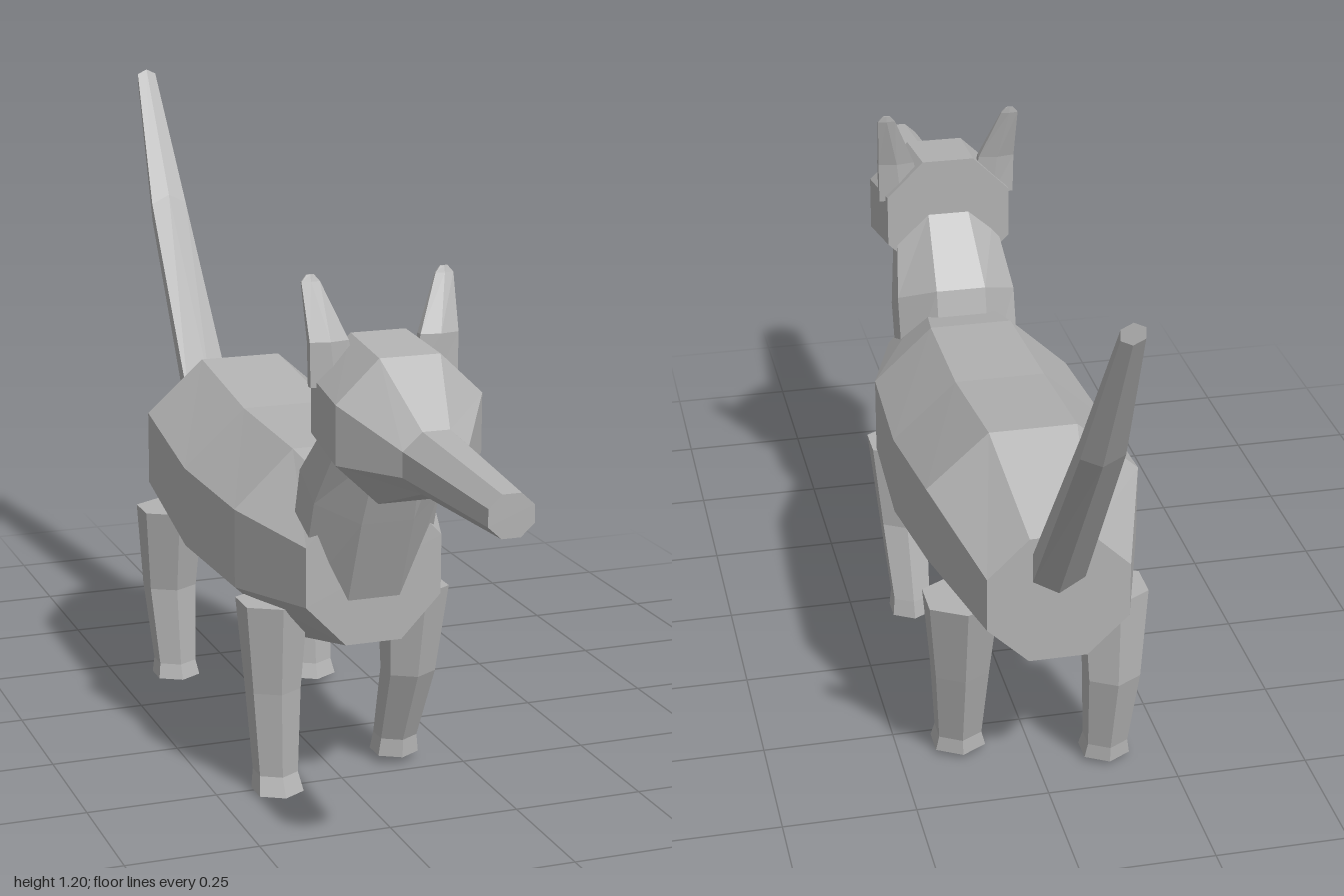
import * as THREE from 'three';

const coat = new THREE.MeshStandardMaterial({ color: 0xb2b2b2, flatShading: true });
coat.name = 'grey coat';

// Capped loft. Each ring: [centre x, half width, z0, y0, z1, y1], where the two
// (z, y) points are opposite edges of the ring. Rings run along x cross (p1 - p0).
function loft(name, sides, rings) {
  const angles = Array.from({ length: sides }, (_, i) => ((2 * i + 1) * Math.PI) / sides);
  const maxC = Math.max(...angles.map((a) => Math.abs(Math.cos(a))));
  const maxS = Math.max(...angles.map((a) => Math.abs(Math.sin(a))));
  const pos = [];
  const tri = (...pts) => pts.forEach((p) => pos.push(p.x, p.y, p.z));
  const centres = rings.map(([x, , z0, y0, z1, y1]) => new THREE.Vector3(x, (y0 + y1) / 2, (z0 + z1) / 2));
  const loops = rings.map(([, hw, z0, y0, z1, y1], r) =>
    angles.map((a) => {
      const s = Math.sin(a) / maxS / 2;
      return new THREE.Vector3((hw * Math.cos(a)) / maxC, s * (y1 - y0), s * (z1 - z0)).add(centres[r]);
    }));
  const last = loops.length - 1;
  for (let i = 0; i < sides; i++) {
    const j = (i + 1) % sides;
    for (let r = 0; r < last; r++) {
      const a = loops[r], b = loops[r + 1];
      tri(a[i], a[j], b[j]);
      tri(a[i], b[j], b[i]);
    }
    tri(centres[0], loops[0][j], loops[0][i]);
    tri(centres[last], loops[last][i], loops[last][j]);
  }
  const geo = new THREE.BufferGeometry();
  geo.setAttribute('position', new THREE.Float32BufferAttribute(pos, 3));
  geo.computeVertexNormals();
  const mesh = new THREE.Mesh(geo, coat);
  mesh.name = name;
  return mesh;
}

// Ring standing upright at depth z
const upright = (z, bottom, top, hw) => [0, hw, z, bottom, z, top];
// Level hexagonal ring at height y
const level = (x, y, z, hw, hd) => [x, hw, z + hd, y, z - hd, y];

// Six-sided leg, from sole to hip; each step: [y, z, radius]
const leg = (name, side, steps) =>
  loft(name, 6, steps.map(([y, z, r]) => level(side * (0.133 + 0.02 * y), y, z, r * 0.87, r)));

export function createModel() {
  const model = new THREE.Group();

  model.add(loft('body', 8, [
    upright(-0.56, 0.335, 0.585, 0.13),
    upright(-0.35, 0.34, 0.69, 0.197),
    upright(-0.07, 0.28, 0.655, 0.207),
    upright(0.2, 0.28, 0.642, 0.195),
    upright(0.41, 0.325, 0.595, 0.13),
  ]));

  model.add(loft('neck', 8, [
    [0, 0.12, 0.39, 0.36, 0.25, 0.5],
    [0, 0.12, 0.475, 0.57, 0.295, 0.675],
    [0, 0.1, 0.53, 0.71, 0.42, 0.79],
  ]));

  model.add(loft('headAndSnout', 8, [
    upright(0.42, 0.66, 0.905, 0.125),
    upright(0.57, 0.635, 0.892, 0.135),
    upright(0.69, 0.682, 0.79, 0.06),
    upright(1, 0.692, 0.765, 0.04),
  ]));

  model.add(loft('tail', 6, [
    upright(-1, 1.162, 1.2, 0.02),
    upright(-0.84, 0.87, 0.945, 0.038),
    upright(-0.55, 0.455, 0.57, 0.048),
  ]));

  // Thin ears, leaning outwards and back
  for (const [name, s] of [['leftEar', 1], ['rightEar', -1]]) {
    model.add(loft(name, 6, [
      level(s * 0.095, 0.82, 0.447, 0.043, 0.014),
      level(s * 0.103, 0.9, 0.445, 0.036, 0.015),
      level(s * 0.125, 1.0, 0.416, 0.017, 0.004),
      level(s * 0.125, 1.012, 0.414, 0.007, 0.002),
    ]));
  }

  // Walking pose: one leg of each pair is bent back
  model.add(leg('frontRightLeg', -1, [[0, 0.26, 0.05], [0.035, 0.25, 0.043], [0.2, 0.245, 0.053], [0.373, 0.25, 0.068]]));
  model.add(leg('frontLeftLeg', 1, [[0.015, 0.18, 0.047], [0.05, 0.183, 0.042], [0.2, 0.238, 0.052], [0.373, 0.25, 0.068]]));
  model.add(leg('rearLeftLeg', 1, [[0.01, -0.305, 0.055], [0.04, -0.31, 0.047], [0.2, -0.345, 0.058], [0.373, -0.375, 0.074]]));
  model.add(leg('rearRightLeg', -1, [[0.01, -0.39, 0.05], [0.04, -0.395, 0.044], [0.2, -0.417, 0.056], [0.373, -0.395, 0.07]]));

  return model;
}
